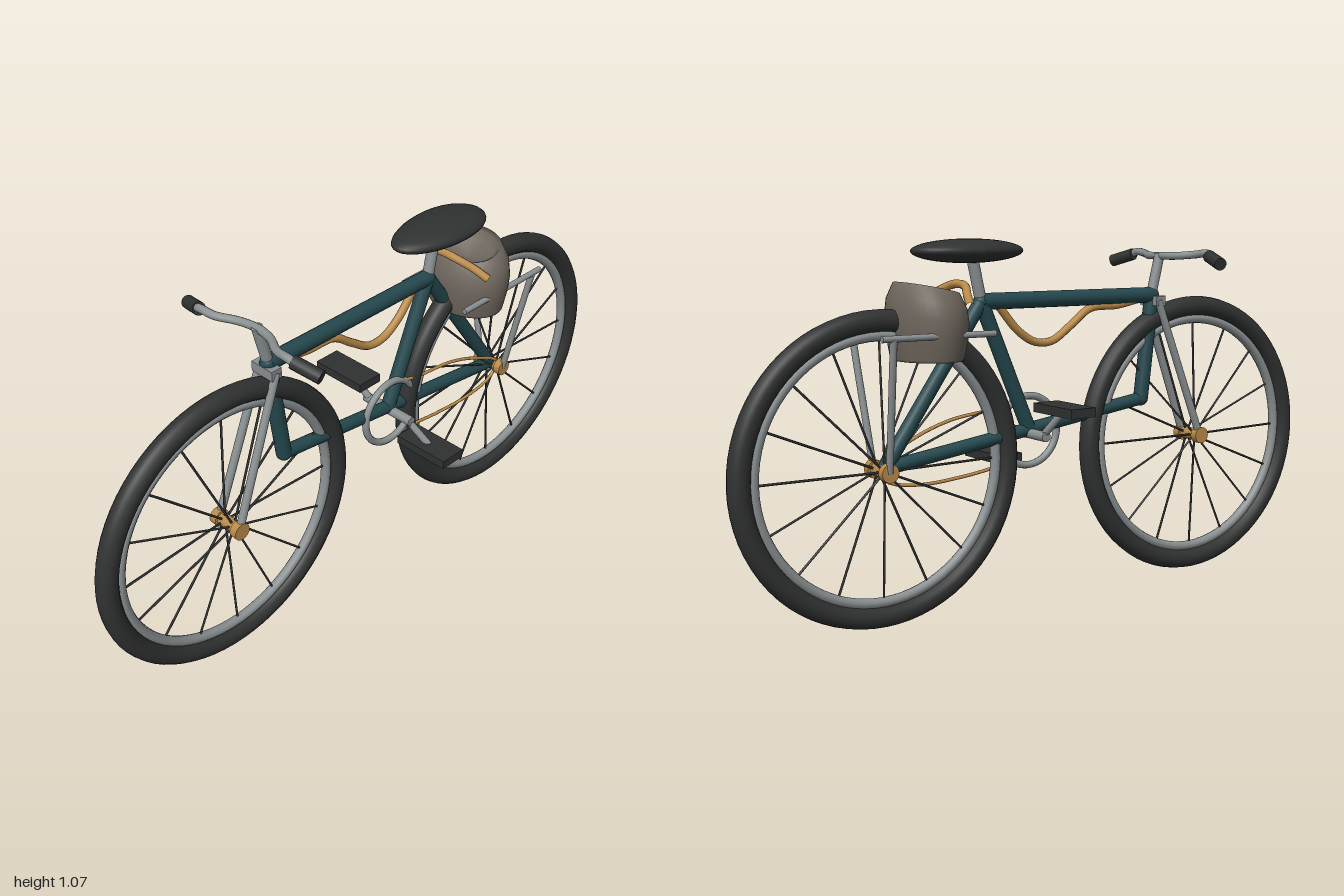
import * as THREE from 'three';

const mat = (color, side = THREE.FrontSide) => new THREE.MeshStandardMaterial({ color, side });
const V = (p) => new THREE.Vector3(...p);

export function createModel() {
  const root = new THREE.Group();
  root.name = 'bicycle';
  const rubber = mat(0x303231), teal = mat(0x24484e), steel = mat(0x8a9092);
  const brass = mat(0xb98a48), canvas = mat(0x6f675e, THREE.DoubleSide);

  const add = (name, geometry, material, parent = root) => {
    const mesh = new THREE.Mesh(geometry, material);
    mesh.name = name;
    parent.add(mesh);
    return mesh;
  };
  // Straight round bar between two points
  const rod = (name, a, b, r, material, parent = root, sides = 16) => {
    const from = V(a), to = V(b), dir = to.clone().sub(from);
    const mesh = add(name, new THREE.CylinderGeometry(r, r, dir.length(), sides), material, parent);
    mesh.position.copy(from).addScaledVector(dir, 0.5);
    mesh.quaternion.setFromUnitVectors(new THREE.Vector3(0, 1, 0), dir.normalize());
    return mesh;
  };
  // Bent round bar through points
  const bent = (name, points, r, material) =>
    add(name, new THREE.TubeGeometry(new THREE.CatmullRomCurve3(points.map(V)), 48, r, 10), material);

  // Wheels: tyre, rim, hub and fanned spokes
  const hubY = 0.445, frontZ = 0.56, rearZ = -0.56;
  for (const [name, z] of [['frontWheel', frontZ], ['rearWheel', rearZ]]) {
    const wheel = new THREE.Group();
    wheel.name = name;
    wheel.position.set(0, hubY, z);
    root.add(wheel);
    add('tyre', new THREE.TorusGeometry(0.41, 0.031, 14, 72), rubber, wheel).rotation.y = Math.PI / 2;
    add('rim', new THREE.TorusGeometry(0.37, 0.015, 10, 72), steel, wheel).rotation.y = Math.PI / 2;
    rod('hub', [-0.05, 0, 0], [0.05, 0, 0], 0.019, brass, wheel);
    for (const s of [-1, 1]) rod('hubCap', [s * 0.03, 0, 0], [s * 0.054, 0, 0], 0.026, brass, wheel);
    for (let i = 0; i < 16; i++) {
      const a = (i / 16) * Math.PI * 2, c = Math.cos(a), s = Math.sin(a);
      const x = i % 2 ? 0.018 : -0.018;
      rod('spoke', [x, 0.015 * s, 0.015 * c], [0, 0.36 * s, 0.36 * c], 0.0035, rubber, wheel, 6);
    }
  }

  // Frame
  const head = [0, 0.895, 0.39], seat = [0, 0.895, -0.235];
  const rear = [0, 0.45, -0.55], elbow = [0, 0.575, 0.35], crankCentre = [0, 0.51, -0.07];
  rod('topTube', head, seat, 0.024, teal);
  rod('headTube', head, elbow, 0.023, teal);
  rod('lowerTube', elbow, rear, 0.02, teal);
  rod('seatTube', crankCentre, seat, 0.022, teal);
  rod('seatStay', seat, rear, 0.021, teal);
  for (const p of [head, elbow, seat]) add('tubeJoint', new THREE.SphereGeometry(0.023, 16, 12), teal).position.set(...p);

  // Fork, stem and handlebar
  add('forkCrown', new THREE.BoxGeometry(0.08, 0.03, 0.035), steel).position.set(0, 0.878, 0.395);
  rod('stem', [0, 0.88, 0.385], [0, 1.02, 0.42], 0.016, steel);
  bent('handlebar', [[-0.2, 1.012, 0.46], [-0.165, 1.024, 0.467], [-0.12, 1.02, 0.46], [-0.06, 1.015, 0.428],
    [0, 1.015, 0.418], [0.06, 1.015, 0.428], [0.12, 1.02, 0.46], [0.165, 1.024, 0.467], [0.2, 1.012, 0.46]], 0.012, steel);
  for (const s of [-1, 1]) {
    rod('forkBlade', [s * 0.032, 0.88, 0.39], [s * 0.042, hubY, frontZ], 0.012, steel);
    rod('grip', [s * 0.18, 1.016, 0.462], [s * 0.257, 0.994, 0.438], 0.019, rubber);
  }

  // Seat post and egg-shaped saddle, narrower towards the front
  rod('seatPost', seat, [0, 1.03, -0.265], 0.017, steel);
  const saddle = new THREE.SphereGeometry(1, 36, 20);
  const sp = saddle.attributes.position;
  for (let i = 0; i < sp.count; i++) {
    const z = sp.getZ(i);
    sp.setXYZ(i, sp.getX(i) * 0.092 * (1 - 0.12 * z), sp.getY(i) * 0.034, z * 0.177);
  }
  saddle.computeVertexNormals();
  add('saddle', saddle, rubber).position.set(0, 1.038, -0.275);

  // Oval bag with a sunken top that slopes to the front
  const profile = [[0, 0], [0.122, 0], [0.126, 0.006], [0.138, 0.06], [0.143, 0.11], [0.136, 0.155], [0.112, 0.197],
    [0.098, 0.19], [0.085, 0.165], [0, 0.15]].map(([x, y]) => new THREE.Vector2(x, y));
  const bag = new THREE.LatheGeometry(profile, 40);
  const bp = bag.attributes.position;
  for (let i = 0; i < bp.count; i++) {
    const y = bp.getY(i), z = bp.getZ(i) * 0.75;
    bp.setXYZ(i, bp.getX(i), y - 0.22 * z * (y / 0.2), z);
  }
  bag.computeVertexNormals();
  add('bag', bag, canvas).position.set(0, 0.742, -0.412);
  bent('bagHandle', [[-0.132, 0.893, -0.352], [-0.09, 0.918, -0.335], [-0.04, 0.942, -0.312], [0, 0.947, -0.308],
    [0.04, 0.942, -0.312], [0.09, 0.918, -0.335], [0.132, 0.893, -0.352]], 0.012, brass);

  // Rear rack
  for (const s of [-1, 1]) {
    rod('rackRail', [s * 0.12, 0.815, -0.265], [s * 0.12, 0.815, -0.615], 0.009, steel);
    rod('rackStrut', [s * 0.047, hubY, rearZ], [s * 0.12, 0.815, -0.58], 0.01, steel);
  }

  // Chainring, chain, cranks and pedals
  const ring = add('chainring', new THREE.TorusGeometry(0.103, 0.011, 10, 48), steel);
  ring.rotation.y = Math.PI / 2;
  ring.position.set(0.015, 0.51, -0.065);
  rod('crankAxle', [-0.094, 0.505, -0.075], [0.094, 0.505, -0.075], 0.015, steel);
  bent('chain', [[0.02, 0.615, -0.07], [0.02, 0.585, -0.17], [0.02, 0.562, -0.33], [0.02, 0.52, -0.45], [0.02, 0.45, -0.565],
    [0.02, 0.407, -0.53], [0.02, 0.388, -0.43], [0.02, 0.396, -0.28], [0.02, 0.415, -0.13], [0.02, 0.41, -0.07]], 0.005, brass);
  for (const [s, y, z] of [[-1, 0.588, -0.047], [1, 0.424, -0.105]]) {
    rod('crankArm', [s * 0.075, 0.505, -0.075], [s * 0.145, y, z], 0.011, steel);
    add('pedal', new THREE.BoxGeometry(0.185, 0.027, 0.085), rubber).position.set(s * 0.143, y, z);
  }

  // Sagging strap under the top tube
  bent('strap', [[0, 0.882, 0.33], [0, 0.868, 0.25], [0, 0.862, 0.15], [0, 0.815, 0.08], [0, 0.772, 0.01], [0, 0.772, -0.05],
    [0, 0.808, -0.11], [0, 0.88, -0.175]], 0.012, brass);

  return root;
}
